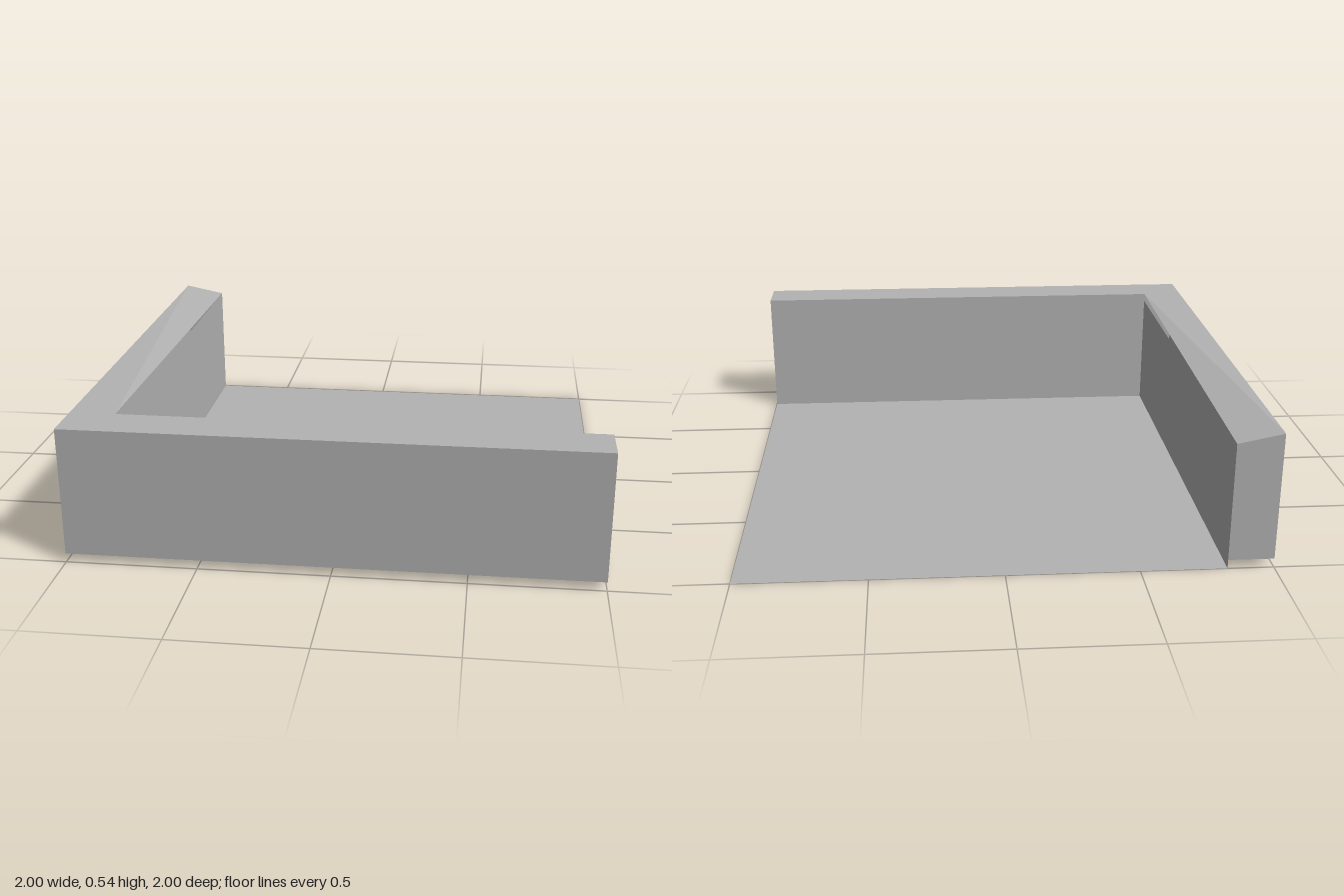
import * as THREE from 'three';

// Flat face from its corners, listed counter-clockwise as seen from outside (fan from the first corner)
function face(...corners) {
  const positions = [];
  for (let i = 1; i < corners.length - 1; i++) {
    positions.push(...corners[0], ...corners[i], ...corners[i + 1]);
  }
  const geometry = new THREE.BufferGeometry();
  geometry.setAttribute('position', new THREE.Float32BufferAttribute(positions, 3));
  geometry.computeVertexNormals();
  return geometry;
}

export function createModel() {
  const grey = new THREE.MeshStandardMaterial({ color: 0xb3b3b3, side: THREE.DoubleSide });
  grey.name = 'plain grey';

  const model = new THREE.Group();
  model.name = 'corner wall with floor';
  const add = (name, parent, ...corners) => {
    const mesh = new THREE.Mesh(face(...corners), grey);
    mesh.name = name;
    parent.add(mesh);
  };

  const inner = 0.826; // inside line of the walls
  const low = 0.035, high = 0.535, dip = 0.5;

  // Floor sheet
  add('floor', model, [-inner, 0, inner], [1, 0, inner], [1, 0, -1], [-inner, 0, -1]);

  // Front wall: slanted underside at its free end
  const front = new THREE.Group();
  front.name = 'frontWall';
  model.add(front);
  add('frontOuterFace', front, [-1, low, 1], [1, low, 1], [1, high, 1], [-1, high, 1]);
  add('frontInnerFace', front, [1, 0, inner], [-inner, 0, inner], [-inner, high, inner], [1, high, inner]);
  add('frontEnd', front, [1, low, 1], [1, 0, inner], [1, high, inner], [1, high, 1]);
  add('frontTop', front, [-1, high, 1], [1, high, 1], [1, high, inner], [-inner, high, inner]);
  add('frontUnderside', front, [-inner, low, inner], [1, 0, inner], [1, low, 1], [-1, low, 1]);

  // Side wall: top dips at the inner back corner
  const side = new THREE.Group();
  side.name = 'sideWall';
  model.add(side);
  add('sideOuterFace', side, [-1, low, -1], [-1, low, 1], [-1, high, 1], [-1, high, -1]);
  add('sideInnerFace', side, [-inner, 0, inner], [-inner, 0, -1], [-inner, dip, -1], [-inner, dip, inner]);
  add('sideEnd', side, [-inner, low, -1], [-1, low, -1], [-1, high, -1], [-inner, dip, -1]);
  add('sideTop', side, [-1, high, -1], [-1, high, 1], [-inner, high, inner], [-inner, dip, -1]);
  add('sideUnderside', side, [-1, low, -1], [-inner, low, -1], [-inner, low, inner], [-1, low, 1]);

  return model;
}
